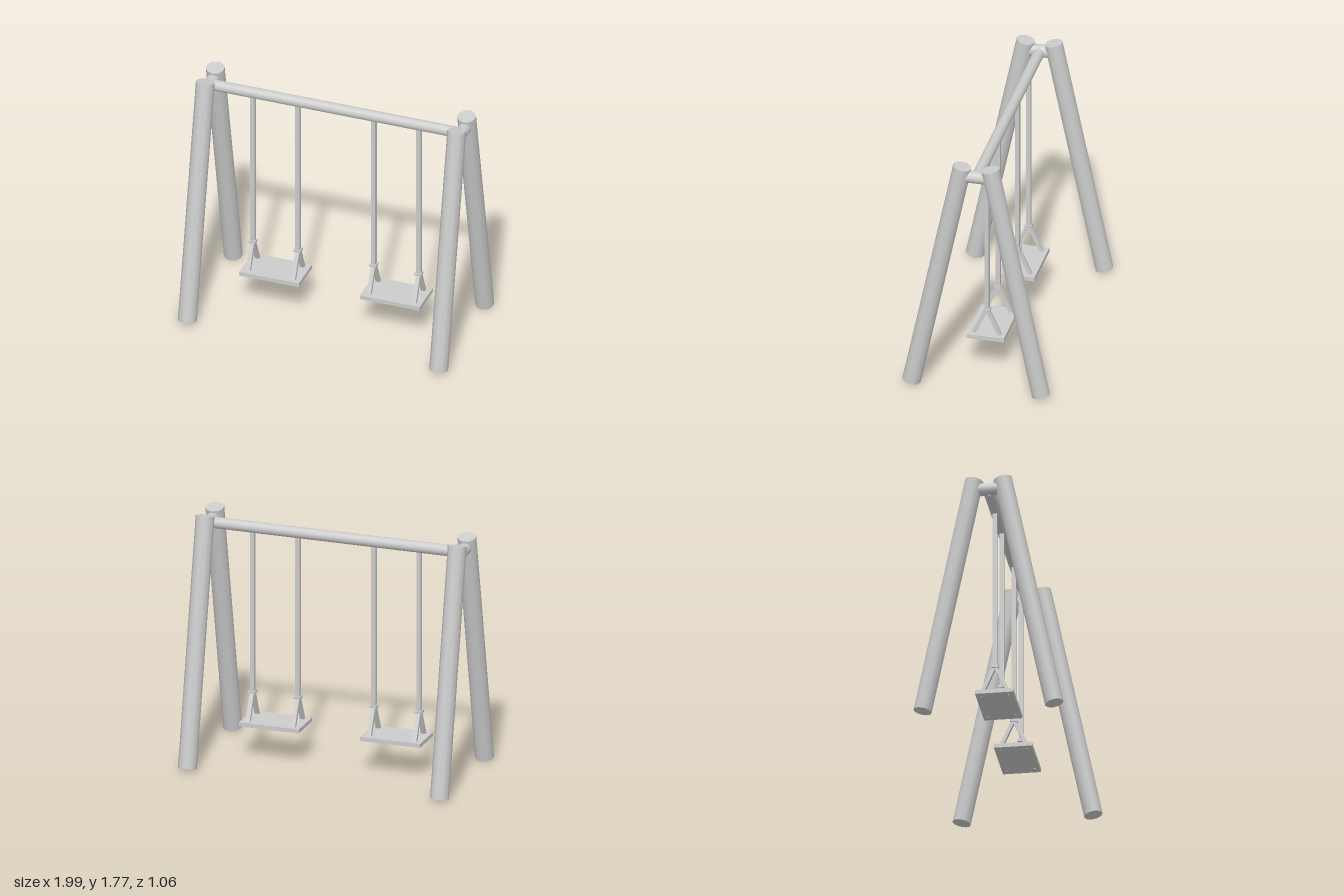
import * as THREE from 'three';

const material = new THREE.MeshStandardMaterial({ color: 0xcccccc });

function add(parent, name, geometry, x = 0, y = 0, z = 0) {
  const mesh = new THREE.Mesh(geometry, material);
  mesh.name = name;
  mesh.position.set(x, y, z);
  parent.add(mesh);
  return mesh;
}

// Stretch a mesh made along y between two points in the side plane
function addBetween(parent, name, makeGeometry, x, [z0, y0], [z1, y1]) {
  const dy = y1 - y0, dz = z1 - z0;
  const mesh = add(parent, name, makeGeometry(Math.hypot(dy, dz)), x, (y0 + y1) / 2, (z0 + z1) / 2);
  mesh.rotation.x = Math.atan2(dz, dy);
  return mesh;
}

function createSwing(x) {
  const swing = new THREE.Group();
  swing.name = 'swing';
  swing.position.x = x;
  add(swing, 'seat', new THREE.BoxGeometry(0.444, 0.03, 0.268), 0, 0.262, 0);
  for (const side of [-1, 1]) {
    const sx = side * 0.168;
    // Hanger from beam to collar
    add(swing, 'hanger', new THREE.BoxGeometry(0.032, 1.2, 0.032), sx, 1.06, 0);
    add(swing, 'collar', new THREE.BoxGeometry(0.05, 0.018, 0.05), sx, 0.466, 0);
    // Forked straps passing through the seat
    for (const end of [-1, 1]) {
      addBetween(swing, 'strap', (h) => new THREE.BoxGeometry(0.03, h, 0.026),
        sx, [end * 0.105, 0.247], [end * 0.006, 0.462]);
    }
  }
  return swing;
}

export function createModel() {
  const model = new THREE.Group();
  model.name = 'swingSet';

  // A-frames: two splayed posts joined by a short crosspiece
  for (const side of [-1, 1]) {
    const frame = new THREE.Group();
    frame.name = side > 0 ? 'leftFrame' : 'rightFrame';
    model.add(frame);
    for (const end of [-1, 1]) {
      addBetween(frame, end > 0 ? 'frontLeg' : 'backLeg',
        (h) => new THREE.CylinderGeometry(0.066, 0.066, h, 10),
        side * 0.934, [end * 0.464, 0.015], [end * 0.1, 1.762]);
    }
    const joint = add(frame, 'crosspiece', new THREE.CylinderGeometry(0.045, 0.045, 0.2, 16), side * 0.934, 1.69, 0);
    joint.rotation.x = Math.PI / 2;
  }

  // Top beam
  const beam = add(model, 'topBeam', new THREE.CylinderGeometry(0.04, 0.04, 1.84, 16), 0, 1.683, 0);
  beam.rotation.z = Math.PI / 2;

  for (const side of [-1, 1]) model.add(createSwing(side * 0.449));
  return model;
}
